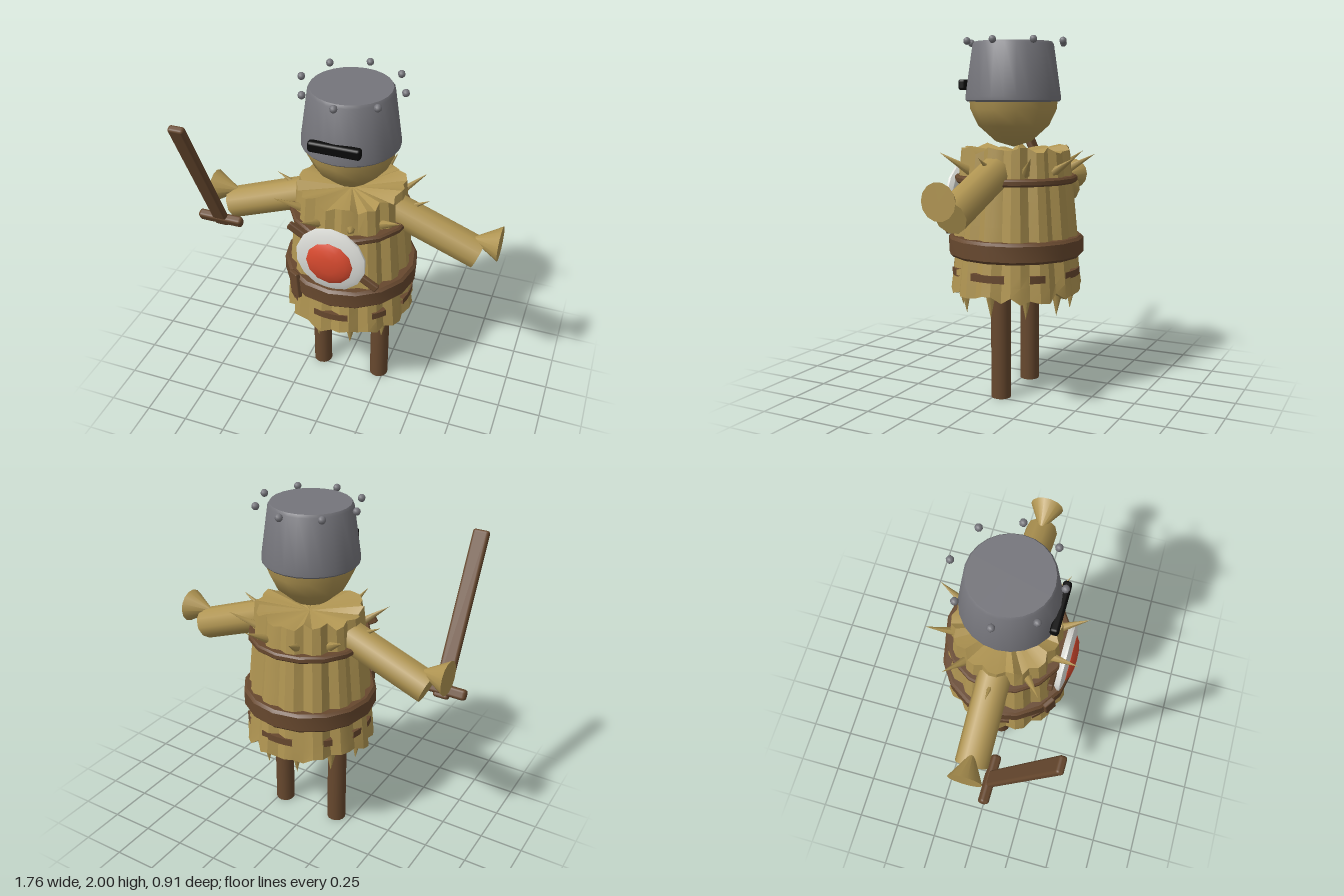
import * as THREE from 'three';
import { toCreasedNormals } from 'three/addons/utils/BufferGeometryUtils.js';
import { RoundedBoxGeometry } from 'three/addons/geometries/RoundedBoxGeometry.js';

const CX = 0.03, CZ = -0.035; // axis of the body

export function createModel() {
  const model = new THREE.Group();
  model.name = 'strawTrainingDummy';
  const material = (name, color) => {
    const m = new THREE.MeshStandardMaterial({ color });
    m.name = name;
    return m;
  };
  const straw = material('straw', 0xb09552);
  const wood = material('brownWood', 0x67482e);
  const metal = material('greyMetal', 0x75757b);
  const black = material('black', 0x0a0a0a);
  const white = material('white', 0xdedfda);
  const red = material('red', 0xd84a2f);

  let seed = 7;
  const rand = () => (seed = (seed * 16807) % 2147483647) / 2147483647;

  const add = (name, geometry, mat, x = 0, y = 0, z = 0) => {
    const mesh = new THREE.Mesh(geometry, mat);
    mesh.name = name;
    mesh.position.set(x, y, z);
    model.add(mesh);
    return mesh;
  };
  const lathe = (points, sides, start, length) => toCreasedNormals(new THREE.LatheGeometry(
    points.map(([r, y]) => new THREE.Vector2(r, y)), sides, start, length), 0.6);

  // Tapered rod between two points
  const rod = (name, mat, a, b, r0, r1, sides) => {
    const from = new THREE.Vector3(...a), to = new THREE.Vector3(...b);
    const dir = to.clone().sub(from);
    const mesh = add(name, new THREE.CylinderGeometry(r1, r0, dir.length(), sides), mat);
    mesh.position.copy(from).add(to).multiplyScalar(0.5);
    mesh.quaternion.setFromUnitVectors(new THREE.Vector3(0, 1, 0), dir.normalize());
    return mesh;
  };

  // Bundle of straw: a cylinder with planks separated by grooves and a ragged end
  const bundle = (name, y0, y1, r0, r1, planks, ragTop, ragBottom, dish) => {
    const cols = planks * 3, mid = (y0 + y1) / 2;
    const offset = Array.from({ length: planks }, () => (rand() - 0.5) * 0.018);
    const rag = Array.from({ length: cols }, () => rand() - 0.5);
    const g = new THREE.CylinderGeometry(r1, r0, y1 - y0, cols, 4);
    const p = g.attributes.position;
    for (let i = 0; i < p.count; i++) {
      const x = p.getX(i), y = p.getY(i), z = p.getZ(i), r = Math.hypot(x, z);
      if (r < 0.01) {
        if (y > 0) p.setY(i, y - dish);
        continue;
      }
      const col = (Math.round(Math.atan2(x, z) / (2 * Math.PI) * cols) + cols) % cols;
      const t = y / (y1 - y0);
      const k = 1 + ((col % 3 ? 0.005 : -0.018) + offset[Math.floor(col / 3)]) / r;
      const dy = rag[col] * (t > 0.4 ? ragTop : t < -0.4 ? ragBottom : 0);
      p.setXYZ(i, x * k, y + dy, z * k);
    }
    return add(name, toCreasedNormals(g, 0.5), straw, CX, mid, CZ);
  };
  bundle('torso', 0.85, 1.39, 0.348, 0.295, 14, 0.05, 0, 0.03);
  bundle('skirt', 0.595, 0.87, 0.37, 0.34, 14, 0, 0.05, 0);

  // Bands round the body
  const band = (name, y, r, h, d) => {
    const b = Math.min(0.015, h / 4);
    add(name, lathe([[r - d, -h / 2], [r - b, -h / 2], [r, b - h / 2], [r, h / 2 - b],
      [r - b, h / 2], [r - d, h / 2]], 16), wood, CX, y, CZ);
  };
  band('wideBelt', 0.85, 0.385, 0.115, 0.07);
  band('chestBand', 1.225, 0.347, 0.04, 0.06);

  // Pieces of cord showing on the skirt
  for (let i = 0; i < 8; i++) {
    const angle = i * Math.PI / 4, half = i % 2 ? 0.12 : 0.28;
    add('skirtCord', lathe([[0.32, -0.02], [0.366, -0.02], [0.366, 0.02], [0.32, 0.02]],
      4, angle - half, half * 2), wood, CX, 0.708, CZ).material.side = THREE.DoubleSide;
  }

  // Straw points: ten round the shoulders and ten under the skirt
  for (let i = 0; i < 10; i++) {
    const a = i * Math.PI / 5, c = Math.cos(a), s = Math.sin(a);
    const at = (r, y) => [CX + c * r, y, CZ + s * r];
    rod('shoulderSpike', straw, at(0.28, 1.27), at(0.445, 1.365), 0.027, 0, 6);
    rod('skirtSpike', straw, at(0.315, 0.62), at(0.31, 0.48), 0.032, 0, 6);
  }

  // Legs, arms and flared hands
  for (const side of [-1, 1]) {
    const name = side > 0 ? 'left' : 'right';
    const x = d => CX + side * d;
    rod(name + 'Leg', wood, [x(0.188), 0, CZ], [x(0.188), 0.65, CZ], 0.056, 0.056, 14);
    rod(name + 'Arm', straw, [x(0.2), 1.295, CZ], [x(0.735), 1.09, CZ], 0.093, 0.093, 10);
    rod(name + 'Hand', straw, [x(0.69), 1.18, CZ], [x(0.847), 1.18, CZ], 0.005, 0.097, 14);
  }

  // Head
  const head = new THREE.LatheGeometry([[0, 1.4], [0.1, 1.43], [0.2, 1.52], [0.243, 1.61],
    [0.25, 1.7]].map(([r, y]) => new THREE.Vector2(r, y)), 12);
  add('head', head, straw, CX, 0, -0.02);

  // Bucket helmet with eye slot and rivets
  add('helmet', lathe([[0, 1.66], [0.235, 1.655], [0.258, 1.652], [0.268, 1.662], [0.268, 1.68],
    [0.227, 1.965], [0.217, 1.98], [0, 1.98]], 24), metal, CX, 0, -0.018);
  add('eyeSlot', new RoundedBoxGeometry(0.285, 0.06, 0.046, 2, 0.015), black, CX, 1.745, 0.237);
  for (let i = 0; i < 8; i++) {
    const a = i * Math.PI / 4;
    add('helmetRivet', new THREE.SphereGeometry(0.021, 8, 6), metal,
      CX + 0.282 * Math.cos(a), 1.979, CZ + 0.282 * Math.sin(a));
  }

  // Round target on the chest, with its strap
  const target = lathe([[0, -0.045], [0.18, -0.045], [0.2, -0.025], [0.2, -0.012], [0.17, 0],
    [0.1, 0.012], [0, 0.012]], 14);
  add('targetDisc', target, white, CX, 1.1, 0.325).rotation.x = Math.PI / 2;
  const centre = lathe([[0.135, -0.015], [0.132, 0.005], [0.1, 0.024], [0.05, 0.034], [0, 0.036]], 12);
  add('targetCentre', centre, red, CX, 1.09, 0.33).rotation.x = Math.PI / 2;
  add('targetStrap', new RoundedBoxGeometry(0.6, 0.045, 0.03, 1, 0.008), wood, CX, 1.09, 0.268)
    .rotation.z = -0.55;

  // Hanging end of the belt
  const tail = add('beltEnd', new RoundedBoxGeometry(0.075, 0.16, 0.03, 1, 0.008), wood, -0.197, 0.845, 0.275);
  tail.rotation.set(0, -0.6, 0.12);

  // Wooden sword leaning forward in the right hand
  const sword = new THREE.Group();
  sword.name = 'woodenSword';
  sword.position.set(-0.745, 1.037, 0.078);
  const blade = new THREE.Mesh(new RoundedBoxGeometry(0.09, 0.92, 0.042, 2, 0.015), wood);
  blade.name = 'swordBlade';
  blade.position.y = 0.41;
  const guard = new THREE.Mesh(new RoundedBoxGeometry(0.275, 0.06, 0.052, 2, 0.018), wood);
  guard.name = 'swordGuard';
  sword.add(blade, guard);
  sword.rotation.x = 0.43;
  model.add(sword);

  return model;
}
